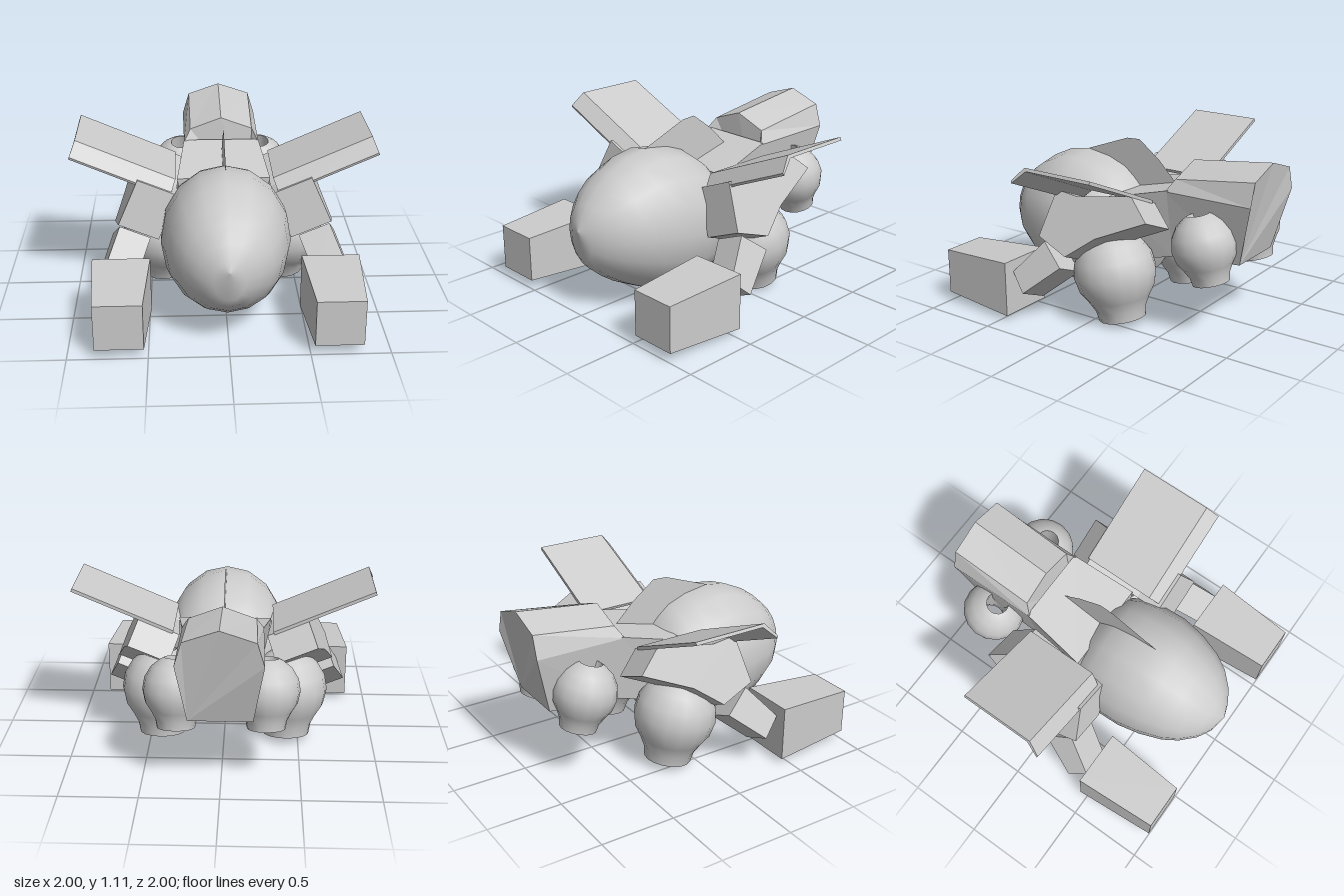
import * as THREE from 'three';

const grey = new THREE.MeshStandardMaterial({ color: 0xcccccc });
const greyDouble = new THREE.MeshStandardMaterial({ color: 0xcccccc, side: THREE.DoubleSide });

// Skin over closed rings ordered from front to back, each counter-clockwise seen from +z
function loft(rings, smooth = false) {
  const n = rings[0].length, idx = [];
  for (let i = 0; i < rings.length - 1; i++) {
    for (let j = 0; j < n; j++) {
      const k = (j + 1) % n;
      const a = i * n + j, b = i * n + k, c = a + n, d = b + n;
      idx.push(a, c, b, b, c, d);
    }
  }
  const last = (rings.length - 1) * n;
  for (let j = 1; j < n - 1; j++) idx.push(0, j, j + 1, last, last + j + 1, last + j);
  let geo = new THREE.BufferGeometry();
  geo.setAttribute('position', new THREE.Float32BufferAttribute(rings.flat(2), 3));
  geo.setIndex(idx);
  if (!smooth) geo = geo.toNonIndexed();
  geo.computeVertexNormals();
  return geo;
}

// Side profile (z, y) pulled inward; the outer face leans by 'lean' and passes through x0, y0
function leaningPrism(profile, x0, y0, lean, dx, dy) {
  const shape = new THREE.Shape(profile.map(([z, y]) => new THREE.Vector2(z, y)));
  const geo = new THREE.ExtrudeGeometry(shape, { depth: 1, bevelEnabled: false });
  const p = geo.attributes.position;
  for (let i = 0; i < p.count; i++) {
    const z = p.getX(i), y = p.getY(i), t = p.getZ(i);
    p.setXYZ(i, x0 + (y0 - y) * lean - dx * t, y - dy * t, z);
  }
  geo.computeVertexNormals();
  return geo;
}

// Mirror a non-indexed geometry across x, keeping faces outward
function mirrored(source) {
  const geo = source.clone(), p = geo.attributes.position, old = source.attributes.position;
  for (let i = 0; i < p.count; i++) {
    const k = i % 3 === 0 ? i : i % 3 === 1 ? i + 1 : i - 1;
    p.setXYZ(i, -old.getX(k), old.getY(k), old.getZ(k));
  }
  geo.computeVertexNormals();
  return geo;
}

const rect = (x1, x2, y1, y2, z) => [[x1, y1, z], [x2, y1, z], [x2, y2, z], [x1, y2, z]];

// Bulb-shaped engine with a hollow nozzle below and an opening on top
function thruster(name, x, y, z, scale, tilt) {
  const group = new THREE.Group();
  group.name = name;
  const parts = {
    bulb: [[0.155, -0.31], [0.168, -0.24], [0.205, -0.17], [0.25, -0.1], [0.272, 0], [0.255, 0.1],
      [0.2, 0.19], [0.13, 0.245], [0.095, 0.262]],
    rim: [[0.115, -0.31], [0.155, -0.31]],
    bore: [[0.095, 0.262], [0.1, 0.1], [0.1, -0.2], [0.115, -0.31]],
  };
  for (const [part, pts] of Object.entries(parts)) {
    const geo = new THREE.LatheGeometry(pts.map(([r, h]) => new THREE.Vector2(r, h)), 16);
    const mesh = new THREE.Mesh(geo, greyDouble);
    mesh.name = part;
    group.add(mesh);
  }
  group.position.set(x, y, z);
  group.rotation.x = tilt;
  group.scale.setScalar(scale);
  return group;
}

export function createModel() {
  const model = new THREE.Group();
  model.name = 'spacecraft';
  const add = (name, geo, mat = grey) => {
    const mesh = new THREE.Mesh(geo, mat);
    mesh.name = name;
    model.add(mesh);
  };

  // Egg-shaped cockpit: z, top, bottom, half width
  const sections = [
    [1.0, 0.585, 0.575, 0.005], [0.97, 0.655, 0.38, 0.1], [0.92, 0.74, 0.31, 0.19],
    [0.83, 0.83, 0.23, 0.28], [0.73, 0.9, 0.16, 0.34], [0.58, 0.97, 0.08, 0.39],
    [0.42, 0.993, 0.03, 0.42], [0.25, 0.965, 0.01, 0.42], [0.12, 0.915, 0.04, 0.4],
    [0.04, 0.85, 0.09, 0.37], [-0.1, 0.7, 0.2, 0.29],
  ];
  add('cockpit', loft(sections.map(([z, top, bottom, w]) => {
    const ring = [];
    for (let i = 0; i < 16; i++) {
      const a = i / 16 * Math.PI * 2;
      ring.push([w * Math.cos(a), (top + bottom) / 2 + (top - bottom) / 2 * Math.sin(a), z]);
    }
    return ring;
  }), true));

  // Body joining the cockpit to the tail
  const bodyRing = (wb, wt, bottom, top, z) =>
    [[-wb, bottom, z], [wb, bottom, z], [wt, top, z], [-wt, top, z]];
  add('body', loft([bodyRing(0.24, 0.31, 0.32, 0.79, 0.04), bodyRing(0.2, 0.26, 0.44, 0.9, -0.4)]));

  // Ridged tail block with a bevelled front and a slanted rear face
  const ridged = (half) => [...half, ...half.slice(0, -1).reverse().map(([x, y, z]) => [-x, y, z])];
  add('tail', loft([
    ridged([[0.2, 0.44, -0.38], [0.26, 0.89, -0.38], [0.215, 0.97, -0.43], [0, 1.05, -0.43]]),
    ridged([[0.2, 0.49, -0.9], [0.265, 0.895, -1], [0.22, 1.045, -1], [0, 1.12, -1]]),
  ]));

  // Thin upright fin behind the canopy
  const fin = new THREE.ShapeGeometry(new THREE.Shape([
    [0.44, 0.99], [0.1, 1.115], [0, 1.12], [-0.16, 1.0], [-0.3, 0.86], [0.08, 0.75],
  ].map(([z, y]) => new THREE.Vector2(-z, y))));
  fin.rotateY(Math.PI / 2);
  add('dorsalFin', fin, greyDouble);

  // Paired parts, built on the left and mirrored
  const pairs = {
    // Bent plate whose leading edge folds down
    wing: leaningPrism([[-0.33, 1.12], [-0.33, 1.1], [0.15, 1.1], [0.24, 1.02], [0.245, 1.035],
      [0.165, 1.12]], 0.96, 1.12, 0.4, 0.64, 0.28),
    shoulder: leaningPrism([[0.25, 0.87], [0.08, 0.855], [-0.32, 0.92], [-0.47, 0.79],
      [-0.13, 0.64], [0.06, 0.5], [0.3, 0.58]], 0.57, 0.86, 0.45, 0.26, 0.11),
    arm: leaningPrism([[0.26, 0.55], [0.09, 0.42], [0.33, 0.22], [0.45, 0.33]],
      0.69, 0.55, 0.45, 0.2, 0.085),
    gunPod: loft([rect(0.525, 0.83, 0.07, 0.375, 1), rect(0.49, 0.865, 0.04, 0.41, 0.45)]),
  };
  for (const [name, geo] of Object.entries(pairs)) {
    add(name + 'Left', geo);
    add(name + 'Right', mirrored(geo));
  }

  // Four engines: large pair under the shoulders, small pair under the tail
  for (const [side, s] of [['Left', 1], ['Right', -1]]) {
    model.add(thruster('mainThruster' + side, s * 0.42, 0.34, -0.105, 1, 0.19));
    model.add(thruster('tailThruster' + side, s * 0.28, 0.6, -0.69, 0.77, 0.25));
  }
  return model;
}
